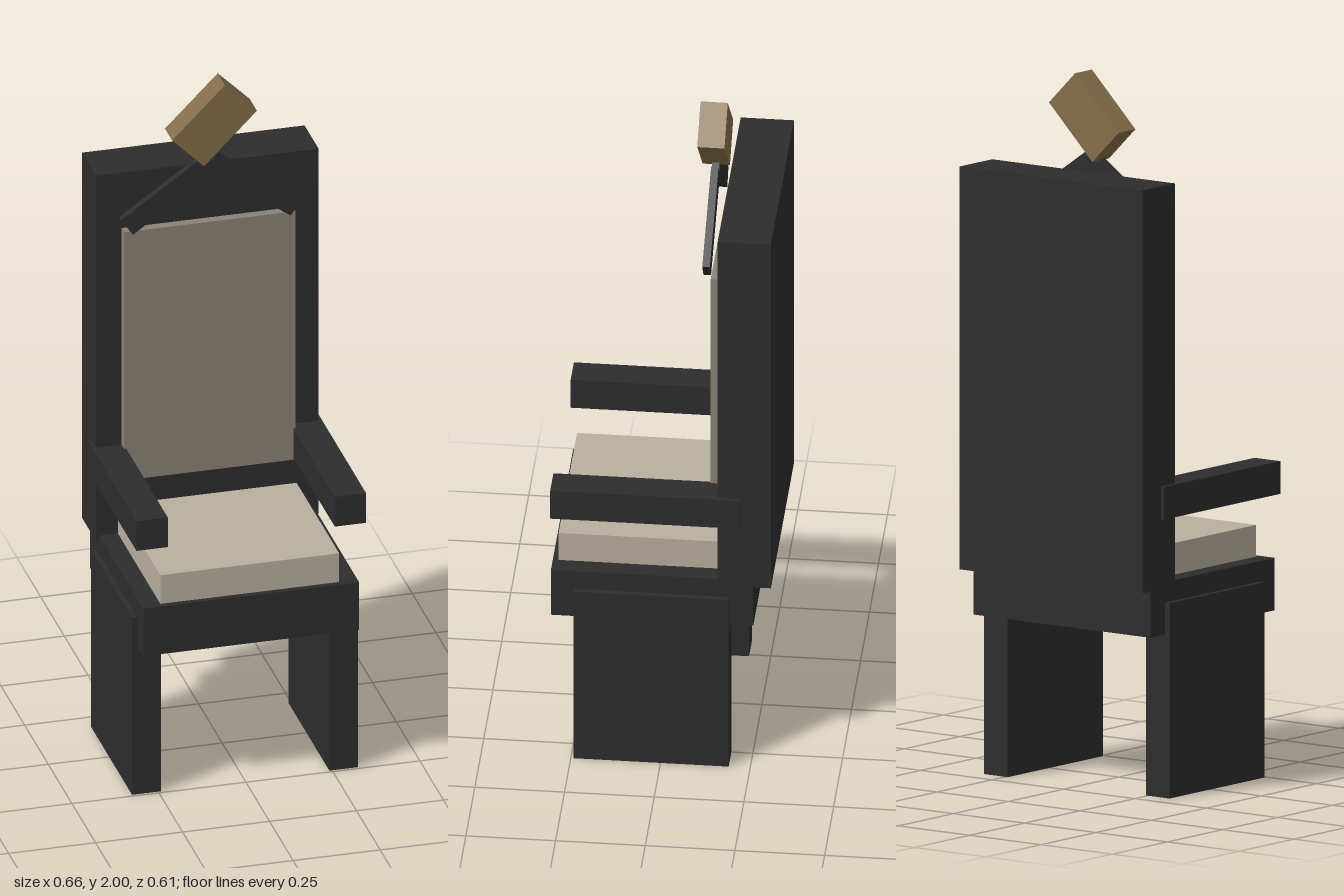
import * as THREE from 'three';

const mat = (name, color) => {
  const m = new THREE.MeshStandardMaterial({ color });
  m.name = name;
  return m;
};

export function createModel() {
  const chair = new THREE.Group();
  chair.name = 'throne';

  const dark = mat('charcoal', 0x2d2d2d);
  const cream = mat('cream cushion', 0xb8af9e);
  const taupe = mat('taupe padding', 0x8a8277);
  const bronze = mat('bronze', 0x846d49);

  // Box given by its [min, max] range on each axis
  const block = (name, material, [x0, x1], [y0, y1], [z0, z1]) => {
    const mesh = new THREE.Mesh(new THREE.BoxGeometry(x1 - x0, y1 - y0, z1 - z0), material);
    mesh.position.set((x0 + x1) / 2, (y0 + y1) / 2, (z0 + z1) / 2);
    mesh.name = name;
    chair.add(mesh);
    return mesh;
  };

  // Seat, cushion and tall back with its padded panel
  block('seat', dark, [-0.31, 0.31], [0.46, 0.608], [-0.257, 0.307]);
  block('cushion', cream, [-0.257, 0.257], [0.605, 0.697], [-0.22, 0.291]);
  block('back', dark, [-0.32, 0.32], [0.593, 1.727], [-0.307, -0.159]);
  block('backPanel', taupe, [-0.246, 0.246], [0.784, 1.555], [-0.165, -0.132]);

  // Mirrored parts
  for (const side of [-1, 1]) {
    const label = side > 0 ? 'left' : 'right';
    const span = (a, b) => (side > 0 ? [a, b] : [-b, -a]);
    block(`${label}Leg`, dark, span(0.242, 0.325), [0, 0.55], [-0.19, 0.242]);
    block(`${label}Armrest`, dark, span(0.24, 0.33), [0.79, 0.882], [-0.221, 0.307]);

    // Sloping bar of the gable above the panel
    const bar = block(`${label}GableBar`, dark, [-0.15, 0.15], [-0.03, 0.03], [-0.131, -0.11]);
    bar.position.x = side * 0.121;
    bar.position.y = 1.666;
    bar.rotation.z = -side * THREE.MathUtils.degToRad(35);
  }

  // Tilted ornament on top
  const ornament = block('ornament', bronze, [-0.1075, 0.1075], [-0.065, 0.065], [-0.158, -0.082]);
  ornament.position.y = 1.878;
  ornament.rotation.z = Math.PI / 4;

  return chair;
}
